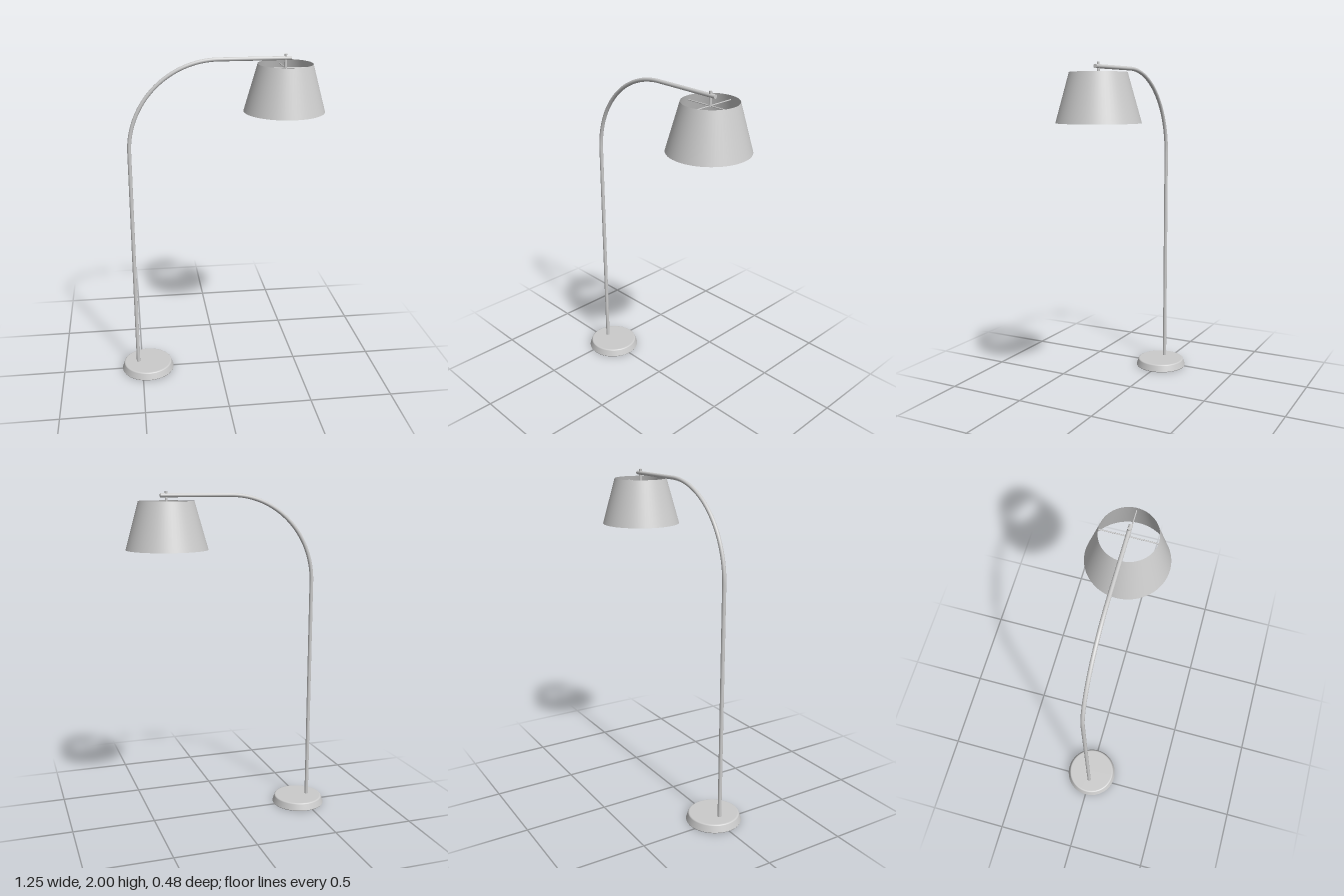
import * as THREE from 'three';

const BASE_X = -0.463, POLE_X = -0.525, SHADE_X = 0.385;
const ARM_Y = 1.976, BEND = 0.525, TUBE_R = 0.0115;

export function createModel() {
  const group = new THREE.Group();
  const grey = new THREE.MeshStandardMaterial({ color: 0xcccccc });
  const thin = new THREE.MeshStandardMaterial({ color: 0xcccccc, side: THREE.DoubleSide });

  const add = (name, geometry, x, y, z, material = grey) => {
    const mesh = new THREE.Mesh(geometry, material);
    mesh.name = name;
    mesh.position.set(x, y, z);
    group.add(mesh);
    return mesh;
  };

  // Weighted base: sloping side with a softly rounded top edge
  const side = new THREE.Path();
  side.moveTo(0.165, 0.004);
  side.lineTo(0.153, 0.04);
  side.quadraticCurveTo(0.151, 0.047, 0.142, 0.047);
  add('baseSide', new THREE.LatheGeometry(side.getPoints(6), 64), BASE_X, 0, 0);
  add('baseTop', new THREE.CircleGeometry(0.142, 64).rotateX(-Math.PI / 2), BASE_X, 0.047, 0);
  add('baseFoot', new THREE.CylinderGeometry(0.165, 0.163, 0.004, 64), BASE_X, 0.002, 0);

  // Upright pole, quarter-circle bend and horizontal arm
  const bendY = ARM_Y - BEND, bendX = POLE_X + BEND, armEnd = 0.42;
  add('pole', new THREE.CylinderGeometry(TUBE_R, TUBE_R, bendY - 0.04, 20), POLE_X, (bendY + 0.04) / 2, 0);
  const bend = new THREE.TorusGeometry(BEND, TUBE_R, 20, 48, Math.PI / 2).rotateZ(Math.PI / 2);
  add('poleBend', bend, bendX, bendY, 0);
  const arm = new THREE.CylinderGeometry(TUBE_R, TUBE_R, armEnd - bendX, 20).rotateZ(Math.PI / 2);
  add('arm', arm, (armEnd + bendX) / 2, ARM_Y, 0);

  // Open conical shade
  add('shade', new THREE.CylinderGeometry(0.16, 0.238, 0.275, 64, 1, true), SHADE_X, 1.8075, 0, thin);

  // Stem through the arm, carrying four spokes that hold the shade
  const spokeY = 1.92, spokeLength = 0.161;
  add('shadeStem', new THREE.CylinderGeometry(0.008, 0.008, 2 - spokeY + 0.005, 16), SHADE_X, (2 + spokeY - 0.005) / 2, 0);
  for (let i = 0; i < 4; i++) {
    const spoke = new THREE.CylinderGeometry(0.0035, 0.0035, spokeLength, 8)
      .rotateZ(Math.PI / 2)
      .translate(spokeLength / 2, 0, 0);
    add('shadeSpoke', spoke, SHADE_X, spokeY, 0).rotation.y = i * Math.PI / 2;
  }
  return group;
}
